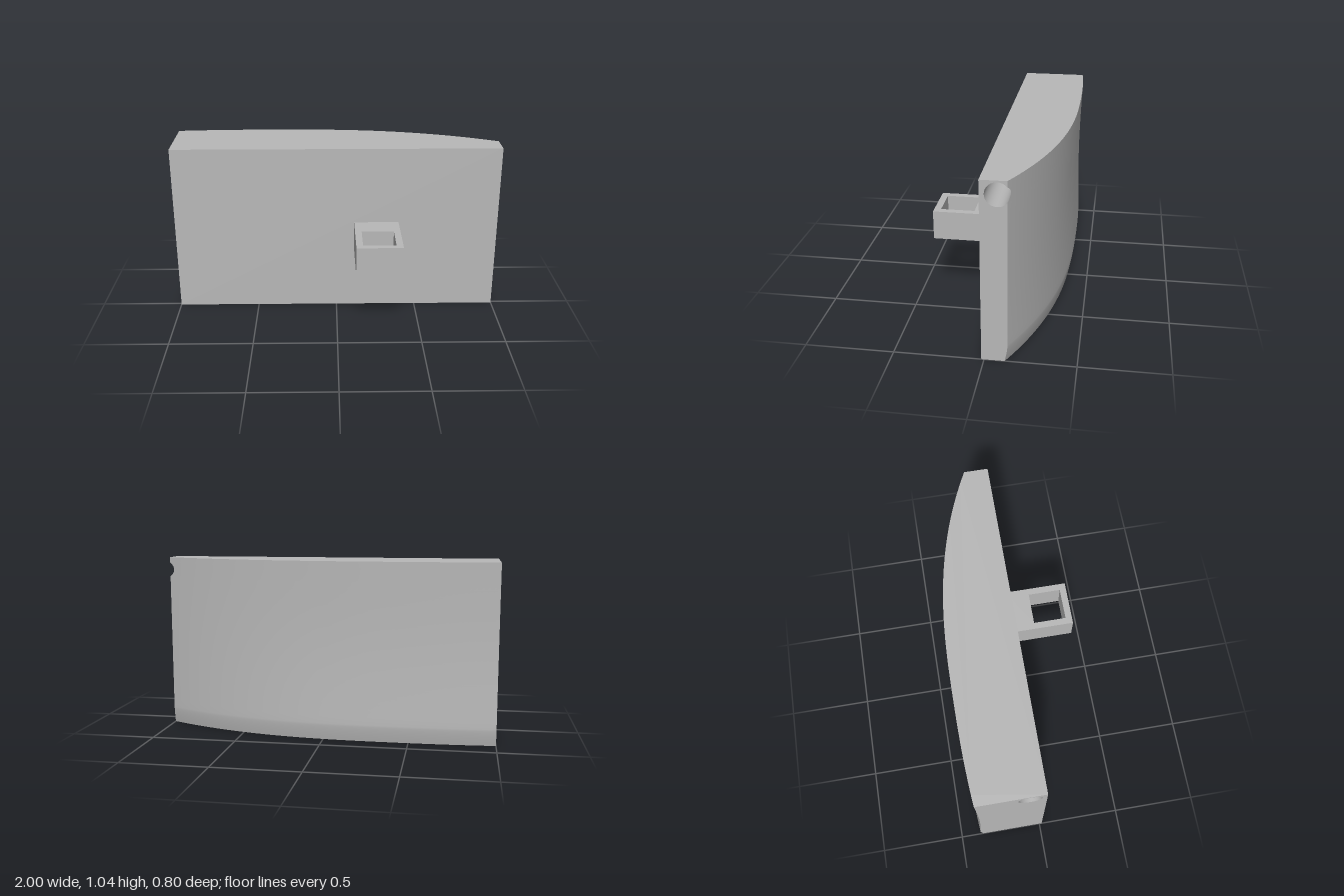
import * as THREE from 'three';

const H = 1.045, FRONT = 0.015;            // block height and front plane
const CY = 0.97, CZ = -0.077, R = 0.066;   // lengthwise bore
const PEAK = -0.38, POW = 2.54, FALL = 0.12;

// Plan curve of the bowed back, and its inverse on the thin side
const planZ = x => -0.4 + (x > PEAK ? FALL : 0.074) * Math.abs(x - PEAK) ** POW;
const planX = z => PEAK + ((z + 0.4) / FALL) ** (1 / POW);

// Back surface: slight hollow at mid height, rolled in at the bottom
function backZ(x, y) {
  const hollow = y > 0.1 ? 0.012 * Math.sin(Math.PI * (y - 0.1) / (H - 0.1)) * Math.min(1, 1 - x) : 0;
  const roll = y < 0.1 ? 0.016 * (1 - y / 0.1) ** 1.4 : 0;
  return planZ(x) + hollow + roll;
}

const range = (a, b, n) => Array.from({ length: n + 1 }, (_, i) => a + (b - a) * i / n);

// Smooth surface through point(column, row)
function grid(cols, rows, point) {
  const pos = [], index = [];
  for (let j = 0; j <= rows; j++) for (let i = 0; i <= cols; i++) pos.push(...point(i, j));
  for (let j = 0; j < rows; j++) for (let i = 0; i < cols; i++) {
    const a = j * (cols + 1) + i, b = a + 1, c = a + cols + 1, d = c + 1;
    index.push(a, b, d, a, d, c);
  }
  const g = new THREE.BufferGeometry();
  g.setAttribute('position', new THREE.Float32BufferAttribute(pos, 3));
  g.setIndex(index);
  g.computeVertexNormals();
  return g;
}

const shapeOf = pts => new THREE.Shape(pts.map(p => new THREE.Vector2(p[0], p[1])));

export function createModel() {
  const model = new THREE.Group();
  const grey = new THREE.MeshStandardMaterial({ color: 0xb8b8b8 });
  grey.name = 'grey';
  const add = (name, geometry) => {
    const mesh = new THREE.Mesh(geometry, grey);
    mesh.name = name;
    model.add(mesh);
    return mesh;
  };

  // The bore breaks out through the back at the thin end, between angles -open and open
  const open = Math.acos((CZ - planZ(1)) / R);
  const boreZ = a => CZ - R * Math.cos(a), boreY = a => CY + R * Math.sin(a);
  const boreEnd = a => Math.cos(a) > Math.cos(open) ? Math.min(1, planX(boreZ(a))) : 1;
  const lip = range(-open, open, 16);
  const rest = range(open, 2 * Math.PI - open, 44);

  // Curved back, its rows shortened where the bore cuts it
  const rows = [
    ...range(0, 0.1, 8).map(y => ({ y, end: 1 })),
    ...range(0.1, boreY(-open), 20).slice(1, -1).map(y => ({ y, end: 1 })),
    ...lip.map(a => ({ y: boreY(a), end: boreEnd(a) })),
    ...range(boreY(open), H, 3).slice(1).map(y => ({ y, end: 1 })),
  ];
  const COLS = 60;
  add('curvedBack', grid(COLS, rows.length - 1, (i, j) => {
    const { y, end } = rows[j], x = end - (end + 1) * i / COLS;
    return [x, y, backZ(x, y)];
  }));

  // Bore wall
  const angles = [...lip, ...rest.slice(1)];
  add('boreWall', grid(1, angles.length - 1, (i, j) =>
    [i ? boreEnd(angles[j]) : -1, boreY(angles[j]), boreZ(angles[j])]));

  // Flat front
  add('frontFace', new THREE.PlaneGeometry(2, H).translate(0, H / 2, FRONT));

  // Top and bottom faces follow the back edge
  const xs = range(1, -1, COLS);
  const top = [[-1, -FRONT], [1, -FRONT], ...xs.map(x => [x, -backZ(x, H)])];
  add('topFace', new THREE.ShapeGeometry(shapeOf(top)).rotateX(-Math.PI / 2).translate(0, H, 0));
  const bottom = [[-1, FRONT], [1, FRONT], ...xs.map(x => [x, backZ(x, 0)])];
  add('bottomFace', new THREE.ShapeGeometry(shapeOf(bottom)).rotateX(Math.PI / 2));

  // Thick end with the round bore opening
  const thick = shapeOf([[FRONT, 0], [FRONT, H], ...rows.map(r => [backZ(-1, r.y), r.y]).reverse()]);
  thick.holes.push(new THREE.Path(angles.slice(0, -1).map(a => new THREE.Vector2(boreZ(a), boreY(a)))));
  add('thickEnd', new THREE.ShapeGeometry(thick).rotateY(-Math.PI / 2).translate(-1, 0, 0));

  // Thin end with the bore as an open notch
  const solid = test => rows.filter(r => test(r.y)).map(r => [-backZ(1, r.y), r.y]);
  const thin = shapeOf([
    [-FRONT, 0],
    ...solid(y => y < boreY(-open) - 1e-5),
    ...[...rest].reverse().map(a => [-boreZ(a), boreY(a)]),
    ...solid(y => y > boreY(open) + 1e-5),
    [-FRONT, H],
  ]);
  add('thinEnd', new THREE.ShapeGeometry(thin).rotateY(Math.PI / 2).translate(1, 0, 0));

  // Bracket on the front with a square socket through it
  const rect = (x0, x1, z0, z1) => [[x0, -z0], [x0, -z1], [x1, -z1], [x1, -z0]];
  const arm = shapeOf(rect(0.11, 0.385, FRONT, 0.4));
  arm.holes.push(new THREE.Path(rect(0.15, 0.345, 0.16, 0.36).map(p => new THREE.Vector2(...p))));
  add('bracket', new THREE.ExtrudeGeometry(arm, { depth: 0.175, bevelEnabled: false })
    .rotateX(-Math.PI / 2).translate(0, 0.395, 0));

  return model;
}
